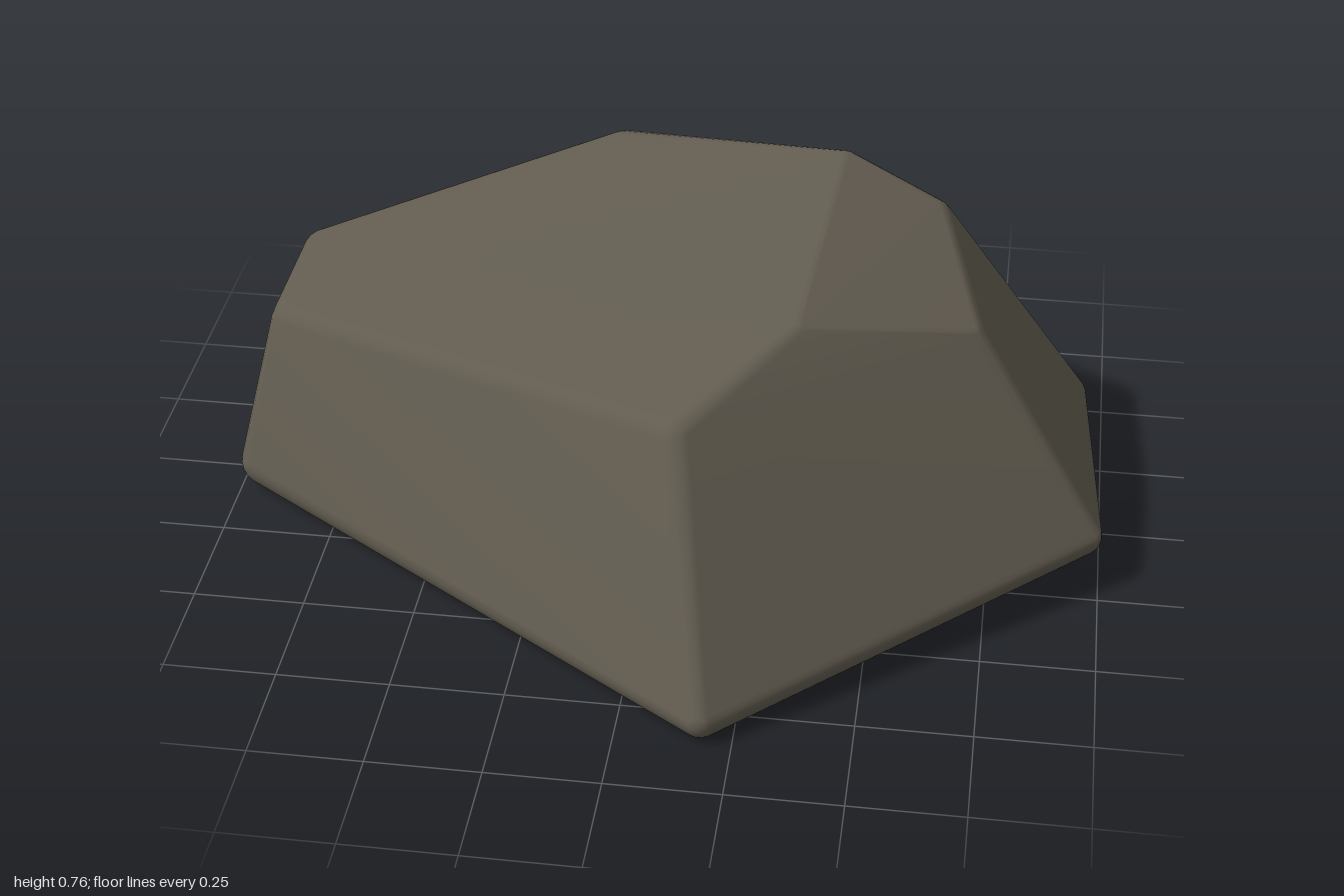
import * as THREE from 'three';
import { mergeVertices } from 'three/addons/utils/BufferGeometryUtils.js';
import { ConvexGeometry } from 'three/addons/geometries/ConvexGeometry.js';

// Worn corners of the boulder: centre x, y, z and rounding radius
const CORNERS = [
  // foot, with the +x side lifted off the ground
  [-0.18, 0.04, -0.82, 0.04], [0.91, 0.115, -0.39, 0.045], [0.955, 0.12, 0.18, 0.045],
  [0.18, 0.04, 0.815, 0.045], [-0.94, 0.06, 0.06, 0.06], [-0.94, 0.06, -0.42, 0.06],
  // shoulder
  [-0.18, 0.59, -0.56, 0.06], [0.56, 0.62, -0.29, 0.06], [0.66, 0.52, 0.05, 0.06],
  [0.09, 0.52, 0.49, 0.06], [-0.86, 0.41, -0.01, 0.06], [-0.86, 0.41, -0.31, 0.06],
  // ridge across the top
  [0.36, 0.715, -0.35, 0.04], [0.31, 0.63, 0.24, 0.04],
];

// Hull around small spheres gives flat facets joined by rounded edges
function roundedHull(corners) {
  const points = [];
  for (const [x, y, z, r] of corners) {
    const ball = new THREE.IcosahedronGeometry(r, 3).getAttribute('position');
    const seen = new Set();
    for (let i = 0; i < ball.count; i++) {
      const p = new THREE.Vector3().fromBufferAttribute(ball, i);
      const key = p.toArray().map((v) => Math.round(v * 1e4)).join();
      if (seen.has(key)) continue;
      seen.add(key);
      points.push(p.add(new THREE.Vector3(x, y, z)));
    }
  }
  const hull = new ConvexGeometry(points);
  hull.deleteAttribute('normal');
  const smooth = mergeVertices(hull, 1e-4);
  smooth.computeVertexNormals();
  return smooth;
}

export function createModel() {
  const group = new THREE.Group();
  group.name = 'rock';
  const stone = new THREE.MeshStandardMaterial({ color: 0x625c50 });
  stone.name = 'grey brown stone';

  const boulder = new THREE.Mesh(roundedHull(CORNERS), stone);
  boulder.name = 'boulder';
  group.add(boulder);
  return group;
}
